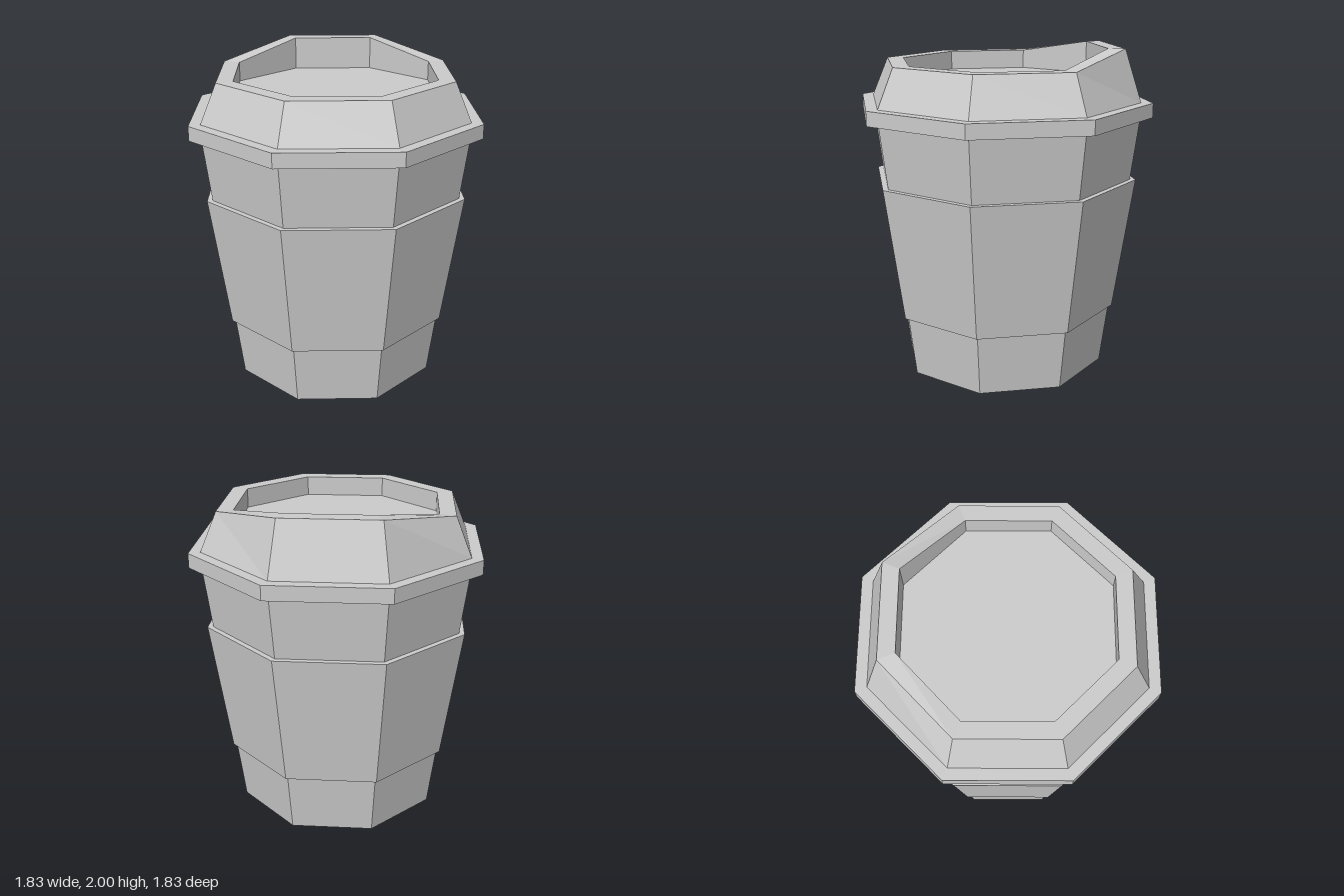
import * as THREE from 'three';

const SIDES = 8;

// Faceted eight-sided solid from a [radius, height] profile, listed bottom to top
function octagonal(name, profile) {
  const points = profile.map(([r, y]) => new THREE.Vector2(r, y));
  const material = new THREE.MeshStandardMaterial({ color: 0xcccccc, flatShading: true });
  const mesh = new THREE.Mesh(new THREE.LatheGeometry(points, SIDES), material);
  mesh.name = name;
  return mesh;
}

// Raise the two rim corners at the back that form the drinking edge
function liftDrinkingEdge(geometry, rimHeight, lift) {
  const p = geometry.attributes.position;
  for (let i = 0; i < p.count; i++) {
    const isRim = p.getY(i) > rimHeight - 0.01;
    if (isRim && p.getX(i) < 0.1 && p.getZ(i) < -0.1) p.setY(i, rimHeight + lift);
  }
  geometry.computeVertexNormals();
}

export function createModel() {
  const model = new THREE.Group();
  model.name = 'takeawayCup';

  // Tapered cup with a closed base
  const cup = octagonal('cup', [[0, 0], [0.64, 0], [0.845, 1.6]]);

  // Sleeve wrapped around the middle of the cup
  const sleeve = octagonal('sleeve', [[0.67, 0.38], [0.71, 0.38], [0.83, 1.21], [0.78, 1.21]]);

  // Lid: projecting brim, sloping shoulder, rim and recessed top
  const rimHeight = 1.917;
  const lid = octagonal('lid', [
    [0.8, 1.595], [0.917, 1.595], [0.917, 1.683], [0.845, 1.683],
    [0.742, rimHeight], [0.638, rimHeight], [0.638, 1.8], [0, 1.8],
  ]);
  liftDrinkingEdge(lid.geometry, rimHeight, 2 - rimHeight);

  model.add(cup, sleeve, lid);
  return model;
}
